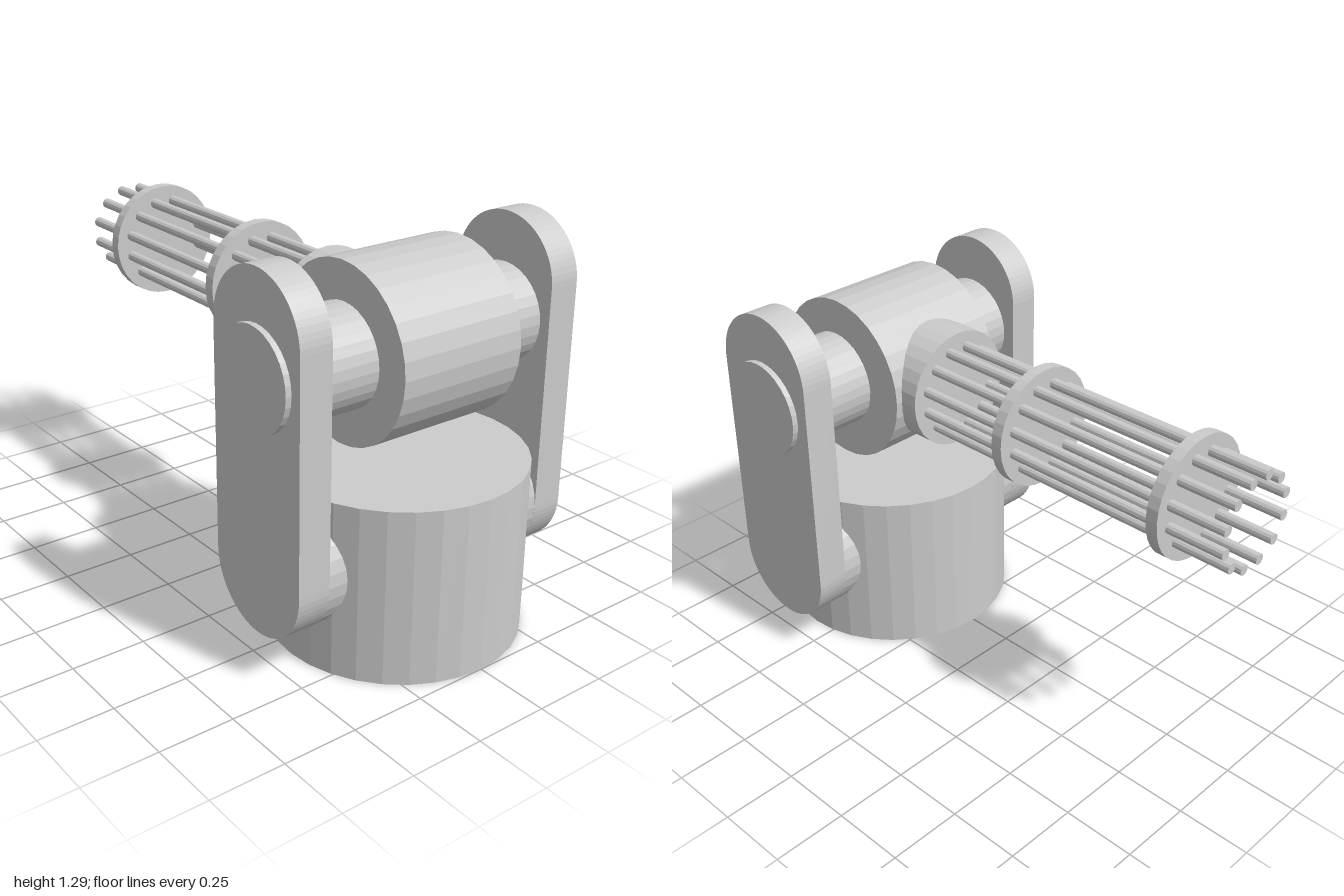
import * as THREE from 'three';

const material = new THREE.MeshStandardMaterial({ color: 0xcccccc, flatShading: true });
const CX = 0.585; // turret axis
const AXLE_Y = 0.957; // height of the gun and its axle

function add(parent, name, geometry, x, y, z) {
  const mesh = new THREE.Mesh(geometry, material);
  mesh.name = name;
  mesh.position.set(x, y, z);
  parent.add(mesh);
  return mesh;
}

const alongX = (r, length, sides = 32) => new THREE.CylinderGeometry(r, r, length, sides).rotateZ(Math.PI / 2);
const alongZ = (r, length, sides = 32) => new THREE.CylinderGeometry(r, r, length, sides).rotateX(Math.PI / 2);

// Upright plate with rounded ends
function plateGeometry(r, bottom, top, depth) {
  const shape = new THREE.Shape();
  shape.absarc(0, top - r, r, 0, Math.PI, false);
  shape.absarc(0, bottom + r, r, Math.PI, Math.PI * 2, false);
  shape.closePath();
  return new THREE.ExtrudeGeometry(shape, { depth, bevelEnabled: false, curveSegments: 16 }).translate(0, 0, -depth / 2);
}

export function createModel() {
  const model = new THREE.Group();
  model.name = 'rotaryGunTurret';

  add(model, 'base', new THREE.CylinderGeometry(0.415, 0.415, 0.582, 32), CX, 0.291, 0);

  // Side arms, each with a round boss joining it to the base
  for (const side of [1, -1]) {
    const arm = new THREE.Group();
    arm.name = side > 0 ? 'frontArm' : 'backArm';
    add(arm, 'armPlate', plateGeometry(0.206, 0.127, 1.286, 0.112), 0.581, 0, side * 0.484);
    add(arm, 'armBoss', alongZ(0.206, 0.2), 0.581, 0.333, side * 0.4);
    model.add(arm);
  }

  // Axle and drum carrying the gun
  add(model, 'axle', alongZ(0.165, 1.12), CX, AXLE_Y, 0);
  add(model, 'drum', alongZ(0.288, 0.456), 0.573, AXLE_Y, 0);

  // Barrel cluster pointing to -x
  const gun = new THREE.Group();
  gun.name = 'gun';
  gun.position.y = AXLE_Y;
  model.add(gun);
  add(gun, 'barrelMount', alongX(0.205, 0.3), 0.372, 0, 0);
  for (const x of [-0.777, -0.154]) add(gun, 'barrelClamp', alongX(0.205, 0.041), x, 0, 0);

  const count = 12;
  for (let i = 0; i < count; i++) {
    const a = ((i + 0.5) / count) * Math.PI * 2;
    add(gun, 'barrel', alongX(0.018, 1.3, 12), -0.35, 0.15 * Math.sin(a), 0.15 * Math.cos(a));
  }
  return model;
}
